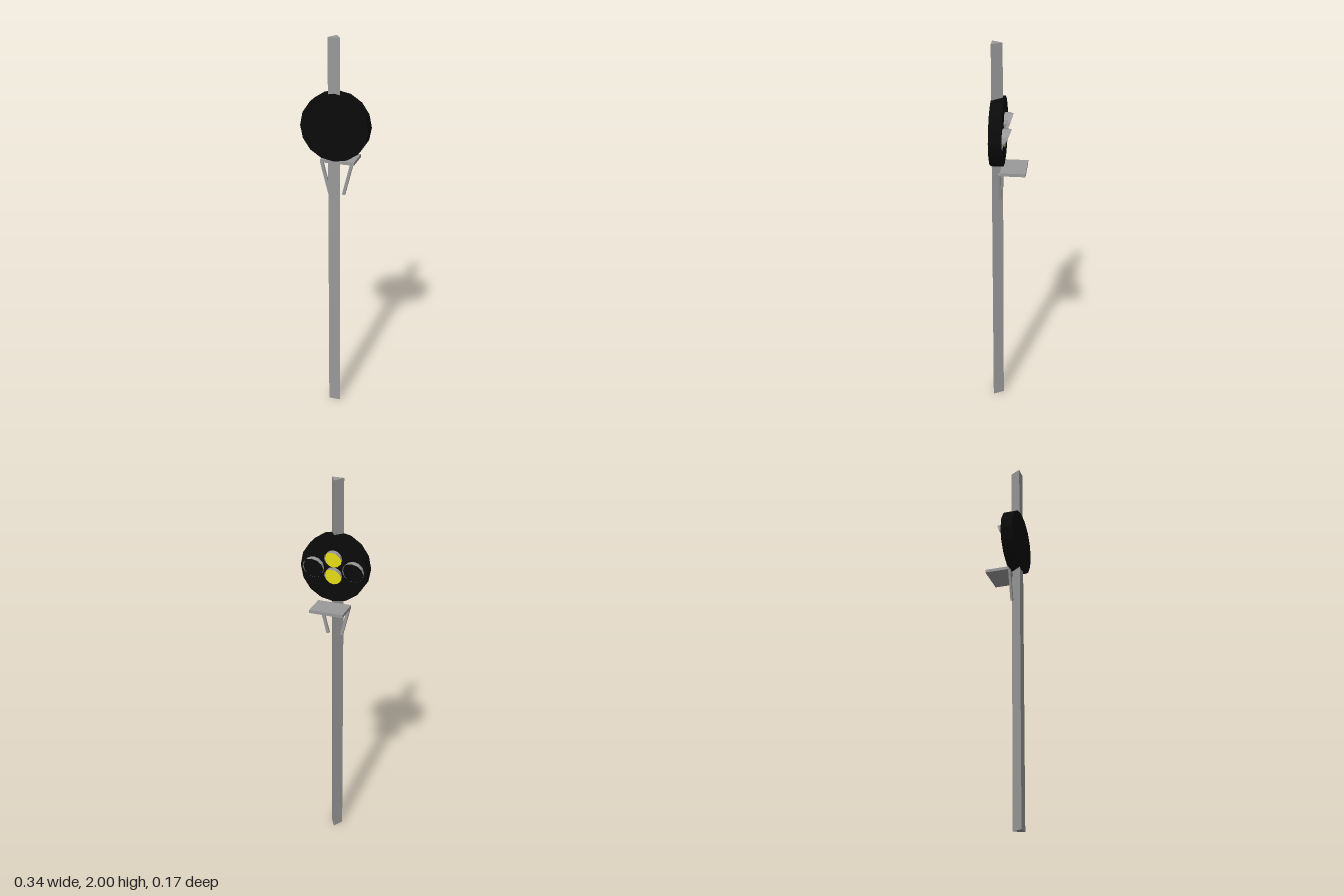
import * as THREE from 'three';

const mat = (name, color, side = THREE.FrontSide) => {
  const m = new THREE.MeshStandardMaterial({ color, side, flatShading: true });
  m.name = name;
  return m;
};

export function createModel() {
  const grey = mat('grey metal', 0x999999);
  const hoodGrey = mat('grey hood metal', 0x999999, THREE.DoubleSide);
  const black = mat('black', 0x0a0a0a);
  const yellow = mat('yellow glass', 0xe6dc14);

  const group = new THREE.Group();
  const add = (name, geometry, material, x, y, z) => {
    const mesh = new THREE.Mesh(geometry, material);
    mesh.name = name;
    mesh.position.set(x, y, z);
    group.add(mesh);
    return mesh;
  };

  // Triangular pole, flat side to the front
  add('pole', new THREE.CylinderGeometry(0.0353, 0.0353, 2, 3).rotateY(Math.PI), grey, 0, 1, 0.0655);

  // Round backing board
  const boardBack = 0.022;
  add('board', new THREE.CylinderGeometry(0.172, 0.172, 0.063, 16).rotateX(-Math.PI / 2),
    black, 0, 1.558, boardBack + 0.0315);

  // Slant-cut hoods, longest at the top, each with a lens
  const addLamp = (side, x, y, r, lensMaterial) => {
    const hood = new THREE.CylinderGeometry(r, r, 1, 12, 1, true).rotateX(-Math.PI / 2);
    const p = hood.attributes.position;
    for (let i = 0; i < p.count; i++) {
      const rim = 0.008 - 0.02 * p.getY(i) / r;
      p.setZ(i, p.getZ(i) < 0 ? Math.min(rim, boardBack - 0.001) : boardBack + 0.002);
    }
    hood.computeVertexNormals();
    add(side + 'Hood', hood, hoodGrey, x, y, 0);
    add(side + 'Lens', new THREE.CylinderGeometry(r * 0.97, r * 0.97, 0.004, 12).rotateX(-Math.PI / 2),
      lensMaterial, x, y, boardBack - 0.001);
  };
  addLamp('upper', 0, 1.61, 0.045, yellow);
  addLamp('lower', 0, 1.522, 0.045, yellow);
  addLamp('left', 0.103, 1.556, 0.054, black);
  addLamp('right', -0.103, 1.556, 0.054, black);

  // Service platform and its two slanted struts
  add('platform', new THREE.BoxGeometry(0.174, 0.016, 0.126), grey, 0, 1.364, -0.025);
  for (const s of [-1, 1]) {
    const dx = 0.041, dy = 0.162;
    const strut = add(s > 0 ? 'leftStrut' : 'rightStrut',
      new THREE.BoxGeometry(0.015, Math.hypot(dx, dy), 0.012), grey, s * 0.0565, 1.28, 0.041);
    strut.rotation.z = -s * Math.atan2(dx, dy);
  }
  return group;
}
